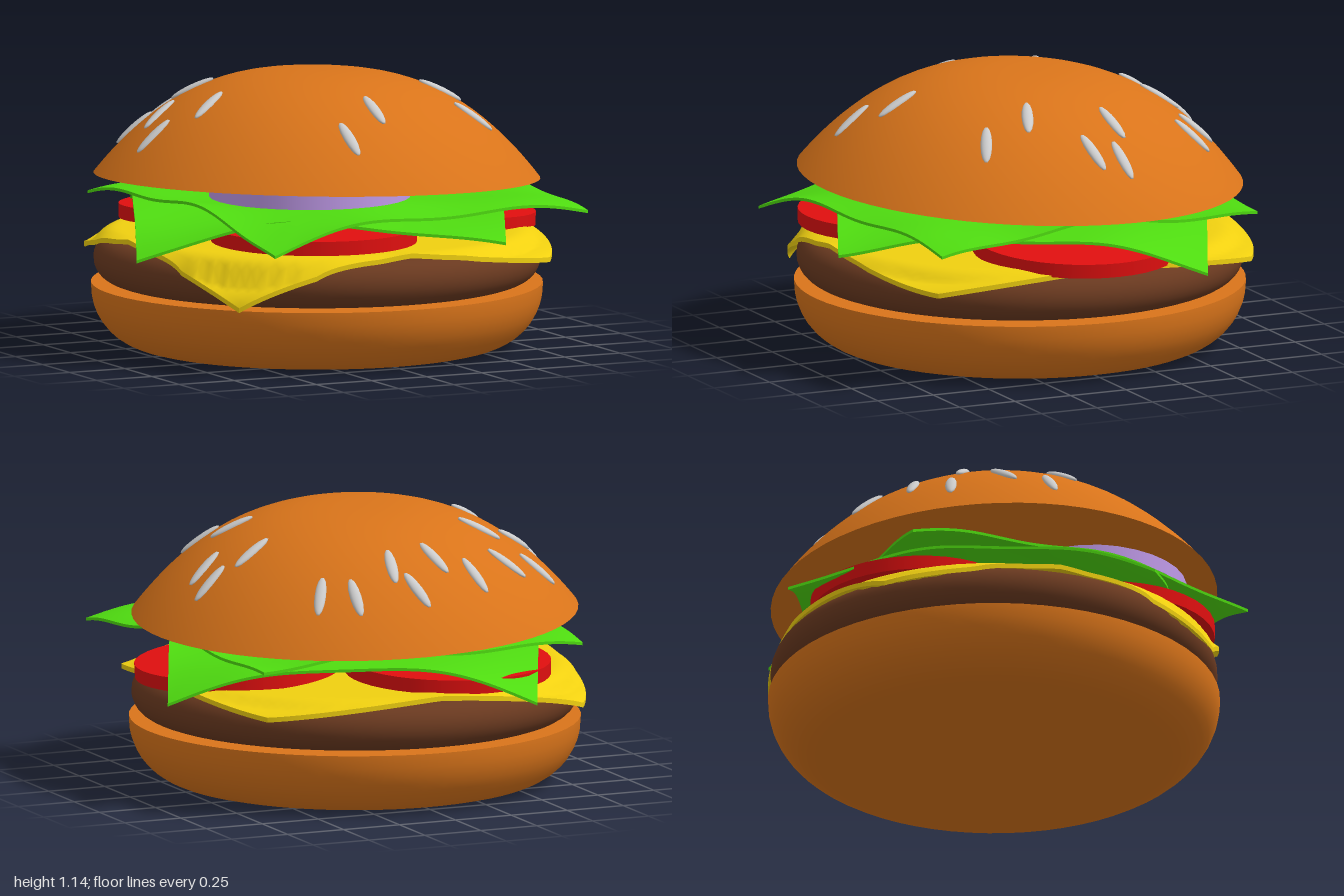
import * as THREE from 'three';
import { toCreasedNormals } from 'three/addons/utils/BufferGeometryUtils.js';

const paint = (color) => new THREE.MeshStandardMaterial({ color });
const BUN = paint(0xd9741a), PATTY = paint(0x6b3a20), CHEESE = paint(0xf0d010);
const LETTUCE = paint(0x4fdc10), TOMATO = paint(0xe00f0f), ONION = paint(0xc09ae8), SEED = paint(0xcccccc);

function add(parent, name, geometry, material, x = 0, y = 0, z = 0) {
  const mesh = new THREE.Mesh(geometry, material);
  mesh.name = name;
  mesh.position.set(x, y, z);
  parent.add(mesh);
  return mesh;
}

// Solid of revolution; profile runs from the bottom centre to the top centre.
const turned = (profile) => toCreasedNormals(
  new THREE.LatheGeometry(profile.map(([r, y]) => new THREE.Vector2(r, y)), 64), 0.6);

// Points on an elliptical arc, angles in units of 90 degrees.
function arc(cx, cy, rx, ry, from, to, n) {
  return Array.from({ length: n + 1 }, (_, i) => {
    const a = (from + (to - from) * i / n) * Math.PI / 2;
    return [cx + rx * Math.cos(a), cy + ry * Math.sin(a)];
  });
}

// Thin square sheet, its points moved by a rule on u, v in -1..1.
function sheet(half, thick, round, height) {
  const g = new THREE.BoxGeometry(2, thick, 2, 48, 1, 48);
  const p = g.attributes.position;
  for (let i = 0; i < p.count; i++) {
    const u = p.getX(i), v = p.getZ(i);
    const s = half * (1 - round * u * u * v * v);
    p.setXYZ(i, u * s, p.getY(i) + height(u, v, Math.hypot(u, v) * s), v * s);
  }
  g.computeVertexNormals();
  return g;
}

// Blend of per-corner drops: [back -x, back +x, front +x, front -x].
function cornerDrop(drops, u, v, power) {
  const a = (1 - u) / 2, b = (1 - v) / 2;
  const mix = b * (a * drops[0] + (1 - a) * drops[1]) + (1 - b) * ((1 - a) * drops[2] + a * drops[3]);
  return mix * Math.abs(u * v) ** power;
}

// Surface the cheese rests on: flat top, then the rounded rim of the patty.
function pattyTop(r) {
  if (r < 0.815) return 0.474;
  if (r > 0.92) return -1;
  return 0.379 + Math.sqrt(Math.max(0, 0.095 ** 2 - (0.9 * (r - 0.815)) ** 2));
}

// Dome height of the top bun at a given radius.
const RIM = 0.91;
const dome = (r) => 0.44 * (1 - (r / RIM) ** 2.65);

export function createModel() {
  const burger = new THREE.Group();
  burger.name = 'burger';

  // Bottom bun and patty
  add(burger, 'bottomBun',
    turned([[0, 0], ...arc(0.68, 0.25, 0.24, 0.25, -1, 0, 10), [0.92, 0.265], [0, 0.265]]),
    BUN, -0.005);
  add(burger, 'patty',
    turned([[0, 0.27], ...arc(0.815, 0.365, 0.095, 0.095, -1, 1, 14), [0, 0.46]]),
    PATTY, -0.005);

  // Cheese slice draped over the patty
  add(burger, 'cheese', sheet(0.86, 0.02, 0.18, (u, v, r) =>
    Math.max(0.478 - cornerDrop([0.11, 0.06, 0.08, 0.2], u, v, 1.2), pattyTop(r))), CHEESE);

  // Tomato slices: x, y, z, tilt about x, tilt about z
  for (const [x, y, z, rx, rz] of [
    [0.52, 0.512, 0, 0, -0.06], [-0.23, 0.53, 0.43, 0.01, 0], [-0.23, 0.525, -0.42, -0.04, 0],
  ]) {
    const slice = add(burger, 'tomatoSlice', new THREE.CylinderGeometry(0.42, 0.42, 0.058, 40), TOMATO, x, y, z);
    slice.rotation.set(rx, 0, rz);
  }

  // Two rippled lettuce leaves, turned against each other
  const ripple = (u, v, k) => (0.4 + 0.6 * Math.max(u * u, v * v)) *
    (Math.sin(5.5 * u + 2.2 * v + k) + Math.sin(6.5 * v - 2.5 * u + 2 * k));
  const lower = add(burger, 'lowerLettuce', sheet(0.752, 0.012, 0, (u, v) =>
    0.592 + 0.011 * ripple(u, v, 0.5) - cornerDrop([0.13, 0.13, 0.07, 0.13], u, v, 2)), LETTUCE, 0, 0, -0.005);
  lower.rotation.y = -0.436;
  const upper = add(burger, 'upperLettuce', sheet(0.75, 0.012, 0.01, (u, v) =>
    0.642 + 0.014 * ripple(u, v, 2) - cornerDrop([0.05, 0.03, 0.06, 0.12], u, v, 2)), LETTUCE, 0.05, 0, 0.08);
  upper.rotation.y = 0.083;

  // Onion slice
  add(burger, 'onionSlice', new THREE.CylinderGeometry(0.41, 0.41, 0.06, 32), ONION, -0.2, 0.7, 0.33);

  // Top bun, resting slightly tilted
  const top = new THREE.Group();
  top.name = 'topBun';
  top.position.set(-0.005, 0.7, 0);
  top.rotation.set(-0.036, 0, -0.033);
  burger.add(top);
  const crown = Array.from({ length: 25 }, (_, i) => {
    const r = RIM * Math.cos(i / 24 * Math.PI / 2);
    return [i === 24 ? 0 : r, dome(Math.max(r, 0))];
  });
  add(top, 'bunDome', turned([[0, 0], ...crown]), BUN);

  // Sesame seeds: x, z and the direction of the long axis across the dome
  const seeds = [
    [-0.26, -0.62, 7, 24], [-0.11, -0.55, 10, 32], [0.03, -0.69, 10, 32], [0.09, -0.57, -7, 32],
    [0.285, -0.645, -4, 32], [0.41, -0.57, -16, 25], [-0.46, -0.49, 28, 17], [-0.64, -0.39, 27, 11],
    [-0.44, -0.265, 25, 15], [-0.64, -0.16, 25, -8], [-0.745, 0, 31, 1], [-0.555, 0.12, 31, -14],
    [0.525, -0.15, 34, -8], [0.7, -0.12, 30, -6], [0.67, 0, 31, -9], [0.455, 0.2, 31, 12],
    [0.505, 0.405, 30, 13], [-0.02, 0.56, 2, 35], [-0.19, 0.68, 3, 32],
  ];
  const seedShape = new THREE.SphereGeometry(1, 14, 10);
  for (const [x, z, dx, dz] of seeds) {
    const r = Math.hypot(x, z), e = 0.01;
    const slope = (dome(r - e) - dome(r + e)) / (2 * e);
    const normal = new THREE.Vector3(slope * x / r, 1, slope * z / r).normalize();
    const along = new THREE.Vector3(dx, 0, dz).projectOnPlane(normal);
    along.y = -(normal.x * dx + normal.z * dz) / normal.y;
    along.x = dx;
    along.z = dz;
    along.normalize();
    const side = new THREE.Vector3().crossVectors(normal, along);
    const seed = add(top, 'sesameSeed', seedShape, SEED, x, dome(r), z);
    seed.quaternion.setFromRotationMatrix(new THREE.Matrix4().makeBasis(side, normal, along));
    seed.scale.set(0.024, 0.016, 0.098);
  }
  return burger;
}
